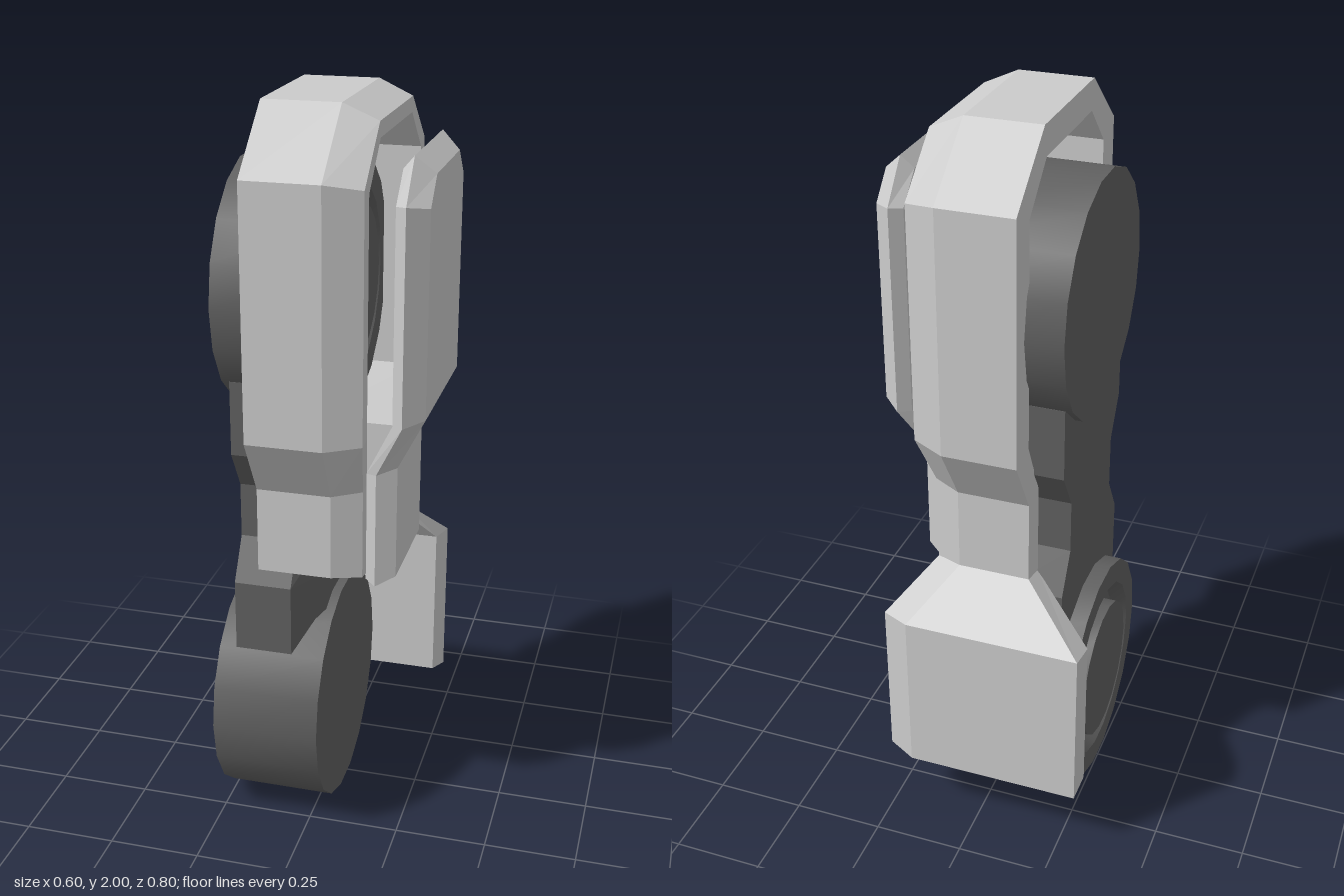
import * as THREE from 'three';
import { toCreasedNormals } from 'three/addons/utils/BufferGeometryUtils.js';

const light = new THREE.MeshStandardMaterial({ color: 0xcccccc, flatShading: true });
const dark = new THREE.MeshStandardMaterial({ color: 0x606060, flatShading: true });
const darkSmooth = new THREE.MeshStandardMaterial({ color: 0x606060 });
const MID_Z = 0.02;

// Skin a row of matching cross-sections and close both ends with fans
function loft(sections) {
  const tris = [];
  const n = sections[0].length;
  for (let s = 0; s < sections.length - 1; s++) {
    const a = sections[s], b = sections[s + 1];
    for (let i = 0; i < n; i++) {
      const j = (i + 1) % n;
      tris.push([a[i], a[j], b[j]], [a[i], b[j], b[i]]);
    }
  }
  const first = sections[0], last = sections[sections.length - 1];
  for (let i = 1; i < n - 1; i++) {
    tris.push([first[0], first[i + 1], first[i]], [last[0], last[i], last[i + 1]]);
  }
  // A negative volume means the faces point inward, so turn them round
  let volume = 0;
  for (const [p, q, r] of tris) {
    volume += new THREE.Vector3(...p).dot(new THREE.Vector3(...q).cross(new THREE.Vector3(...r)));
  }
  if (volume < 0) tris.forEach((t) => t.reverse());
  const geometry = new THREE.BufferGeometry();
  geometry.setAttribute('position', new THREE.Float32BufferAttribute(tris.flat(2), 3));
  geometry.computeVertexNormals();
  return geometry;
}

function part(name, geometry, material) {
  const mesh = new THREE.Mesh(geometry, material);
  mesh.name = name;
  return mesh;
}

// Joint drum along x, plain on one end and with a grooved hub on the other
function drum(name, startX, y, direction) {
  const profile = [
    [0, 0], [0.324, 0], [0.324, 0.292], [0.255, 0.292],
    [0.225, 0.255], [0.2, 0.255], [0.2, 0.3], [0, 0.3],
  ].map(([r, h]) => new THREE.Vector2(r, h));
  const geometry = toCreasedNormals(new THREE.LatheGeometry(profile, 18), 0.5);
  geometry.rotateZ(-direction * Math.PI / 2);
  const mesh = part(name, geometry, darkSmooth);
  mesh.position.set(startX, y, MID_Z);
  return mesh;
}

// Bent band running from the front, over the top and down into the wide rear guard
function shell() {
  const top = [-0.12, 0.08, 0.17, 0.17];
  const neck = [-0.12, 0.075, 0.15, 0.15];
  const guard = [-0.3, 0.18, 0.26, 0.235];
  // outer z, outer y, inner z, inner y, widths
  const stations = [
    [0.305, 0.8, 0.225, 0.785, neck],
    [0.305, 1.03, 0.225, 1.04, neck],
    [0.4, 1.19, 0.31, 1.2, top],
    [0.4, 1.845, 0.31, 1.81, top],
    [0.215, 2, 0.2, 1.92, top],
    [-0.163, 2, -0.148, 1.92, top],
    [-0.357, 1.845, -0.268, 1.81, top],
    [-0.357, 1.19, -0.268, 1.2, top],
    [-0.265, 1.03, -0.19, 1.04, neck],
    [-0.265, 0.8, -0.19, 0.78, neck],
    [-0.4, 0.67, -0.31, 0.65, guard],
    [-0.4, 0.2, -0.31, 0.2, guard],
  ];
  return loft(stations.map(([oz, oy, iz, iy, [x0, x1, x2, x3]]) => [
    [x0, oy, oz], [x1, oy, oz], [x2, (oy + iy) / 2, (oz + iz) / 2], [x3, iy, iz], [x0, iy, iz],
  ]));
}

// Bevelled side plate; each station gives [y, half width] for ridge, outer and inner face
function sidePanel() {
  const stations = [
    [-0.082, [0.735, 0.18], [0.757, 0.15], [0.745, 0.16]],
    [-0.082, [1.055, 0.18], [1.07, 0.15], [1.05, 0.16]],
    [0, [1.22, 0.256], [1.232, 0.21], [1.215, 0.23]],
    [0, [1.775, 0.256], [1.765, 0.21], [1.77, 0.23]],
    [0, [1.88, 0.17], [1.835, 0.145], [1.845, 0.155]],
  ];
  return loft(stations.map(([dx, [ry, rw], [oy, ow], [iy, iw]]) => [
    [0.25 + dx, ry, MID_Z + rw], [0.3 + dx, oy, MID_Z + ow],
    [0.3 + dx, oy, MID_Z - ow], [0.25 + dx, ry, MID_Z - rw],
    [0.22 + dx, iy, MID_Z - iw], [0.22 + dx, iy, MID_Z + iw],
  ]));
}

// Waisted bar joining the two drums: [y, half width]
function linkBar() {
  const stations = [
    [0.53, 0.245], [0.73, 0.245], [0.84, 0.178], [0.99, 0.178], [1.1, 0.245], [1.3, 0.245],
  ];
  return loft(stations.map(([y, w]) => [
    [-0.2, y, MID_Z - w], [-0.2, y, MID_Z + w], [-0.045, y, MID_Z + w],
    [0.02, y, MID_Z + w * 0.5], [0.02, y, MID_Z - w * 0.5], [-0.045, y, MID_Z - w],
  ]));
}

export function createModel() {
  const model = new THREE.Group();
  model.name = 'armoredLimb';
  model.add(
    part('outerShell', shell(), light),
    part('sidePanel', sidePanel(), light),
    part('linkBar', linkBar(), dark),
    drum('upperJoint', -0.22, 1.512, 1),
    drum('lowerJoint', 0.045, 0.322, -1),
  );
  return model;
}
